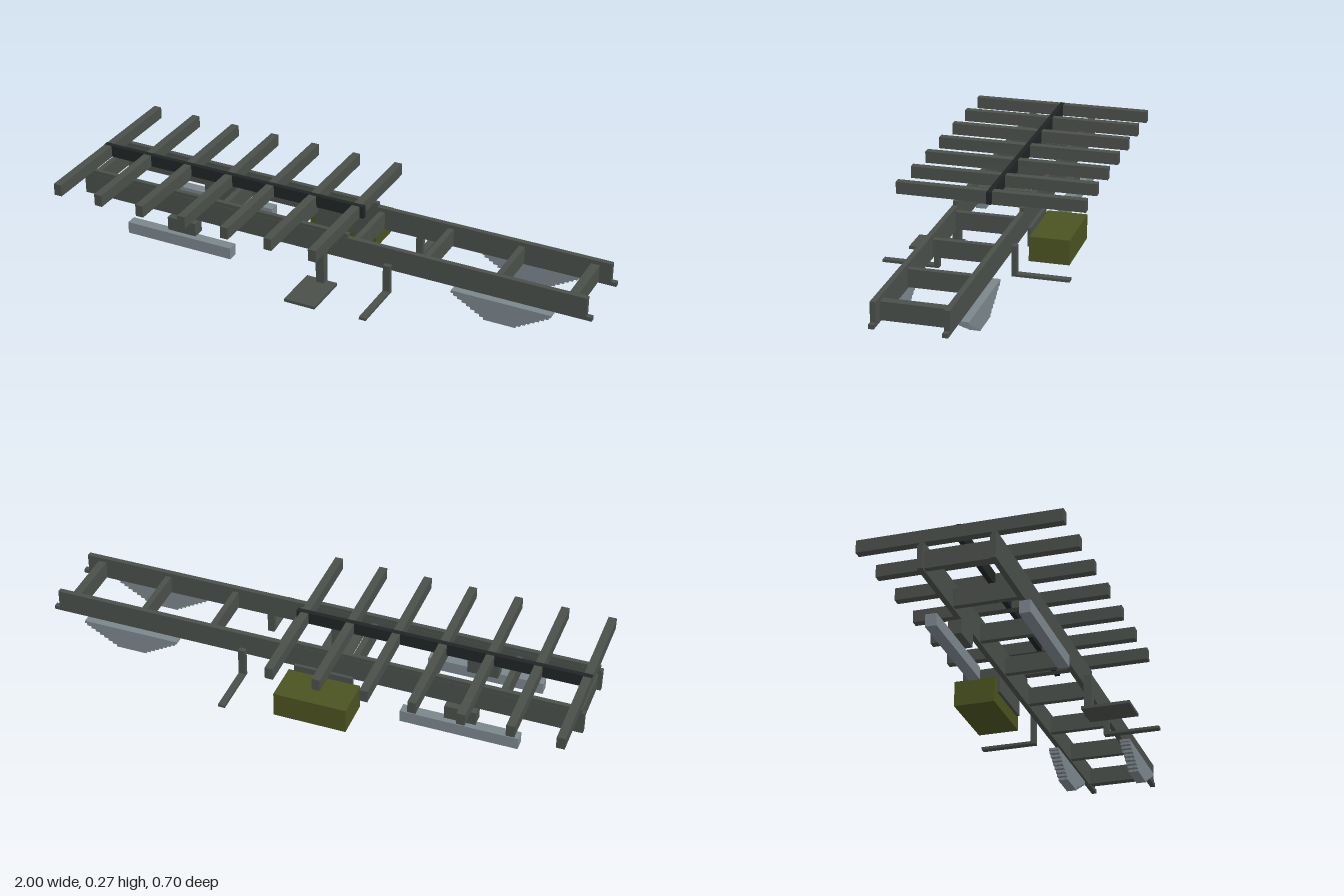
import * as THREE from 'three';

export function createModel() {
  const model = new THREE.Group();
  model.name = 'truckChassis';

  const paint = (name, color) => {
    const m = new THREE.MeshStandardMaterial({ color });
    m.name = name;
    return m;
  };
  const frame = paint('frameGrey', 0x4a4f4a);
  const black = paint('spineBlack', 0x212425);
  const olive = paint('tankOlive', 0x4b5220);
  const steel = paint('springSteel', 0x7b868c);

  // Box given by its limits along each axis
  const box = (name, mat, x0, x1, y0, y1, z0, z1) => {
    const mesh = new THREE.Mesh(new THREE.BoxGeometry(x1 - x0, y1 - y0, Math.abs(z1 - z0)), mat);
    mesh.position.set((x0 + x1) / 2, (y0 + y1) / 2, (z0 + z1) / 2);
    mesh.name = name;
    model.add(mesh);
  };

  for (const s of [1, -1]) {
    // Main rail, its projecting lower end and the packing strip under the slats
    box('rail', frame, -1, 0.98, 0.12, 0.205, s * 0.113, s * 0.132);
    box('railTip', frame, 0.98, 1, 0.12, 0.135, s * 0.113, s * 0.132);
    box('packingStrip', frame, -0.99, 0.09, 0.205, 0.22, s * 0.114, s * 0.131);

    // Rear spring beam on its hanger
    box('springHanger', frame, -0.63, -0.515, 0.068, 0.12, s * 0.113, s * 0.16);
    box('rearSpring', steel, -0.79, -0.36, 0.023, 0.068, s * 0.14, s * 0.18);

    // Front leaf spring, each leaf shorter than the one above
    const leaves = 9, thick = 0.0094;
    for (let i = 0; i < leaves; i++) {
      const half = 0.183 - Math.max(0, i - 0.5) * 0.0165;
      const top = 0.12 - i * thick;
      box('springLeaf', steel, 0.682 - half, 0.682 + half, top - thick, top, s * 0.122, s * 0.16);
    }

    // L-shaped side bracket
    box('bracketPost', frame, 0.236, 0.262, 0.03, 0.143, s * 0.132, s * 0.15);
    box('bracketArm', frame, 0.236, 0.262, 0.03, 0.04, s * 0.15, s * 0.34);
  }

  // Cross members between the rails
  for (let i = 0; i < 8; i++) {
    const x = -0.975 + i * 0.2707, half = i === 7 ? 0.016 : 0.011;
    box('crossMember', frame, x - half, x + half, 0.125, 0.19, -0.113, 0.113);
  }

  // Bed slats with the central spine in the gaps
  for (let i = 0; i < 7; i++) {
    const x = -0.972 + i * 0.1722;
    box('bedSlat', frame, x - 0.015, x + 0.015, 0.22, 0.265, -0.35, 0.35);
    const end = i < 6 ? x + 0.1572 : 0.092;
    box('bedSpine', black, x + 0.015, end, 0.22, 0.265, -0.009, 0.009);
  }
  // Thin strip carrying the spine colour over the slats
  box('spineTop', black, -0.988, 0.092, 0.264, 0.266, -0.009, 0.009);

  // Fuel tank and its mounting plate
  box('tankMount', frame, -0.17, 0.05, 0.06, 0.13, -0.132, -0.145);
  box('fuelTank', olive, -0.2, 0.07, 0.012, 0.106, -0.143, -0.292);

  // Boarding step
  box('stepPost', frame, -0.022, 0.01, 0, 0.153, 0.132, 0.16);
  box('stepPlate', frame, -0.07, 0.05, 0, 0.011, 0.135, 0.312);

  return model;
}
